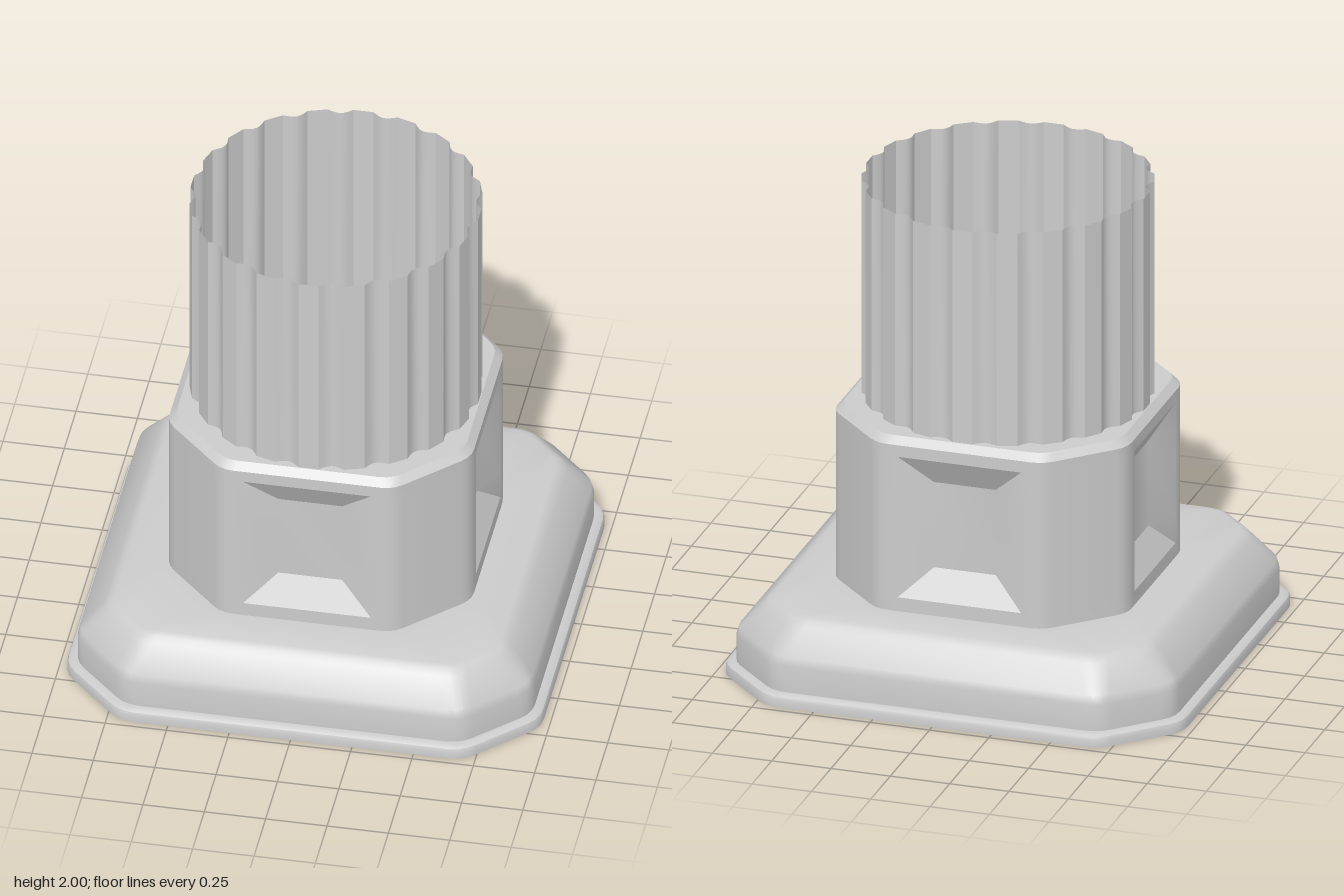
import * as THREE from 'three';
import { toCreasedNormals } from 'three/addons/utils/BufferGeometryUtils.js';

const material = new THREE.MeshStandardMaterial({ color: 0xcccccc, side: THREE.DoubleSide });

// Square with cut, slightly rounded corners: h = half width, s = x + z on the cut,
// columns = extra x positions along each straight side.
function octagon(h, s, r, columns = []) {
  const f = s - h, k = r * Math.SQRT1_2;
  const quarter = columns.map((x) => [x, h]);
  const corner = [];
  for (let i = 0; i <= 3; i++) {
    const t = i / 3, a = (1 - t) ** 2, b = 2 * t * (1 - t), c = t * t;
    corner.push([a * (f - r) + b * f + c * (f + k), (a + b) * h + c * (h - k)]);
  }
  quarter.push(...corner, ...corner.map(([x, z]) => [z, x]).reverse());
  const loop = [];
  for (let q = 0; q < 4; q++) {
    for (const [x, z] of quarter) {
      loop.push([[x, z], [z, -x], [-x, -z], [-z, x]][q]);
    }
  }
  return loop;
}

// Skin closed rings of Vector3; each quad splits along its longer diagonal
// so recessed corners get clean mitres.
function loft(rings, crease = Math.PI / 6) {
  const n = rings[0].length, index = [];
  const points = rings.flat();
  for (let j = 0; j < rings.length - 1; j++) {
    for (let i = 0; i < n; i++) {
      const a = j * n + i, b = j * n + (i + 1) % n, c = b + n, d = a + n;
      if (points[a].distanceTo(points[c]) > points[b].distanceTo(points[d])) index.push(a, b, c, a, c, d);
      else index.push(a, b, d, b, c, d);
    }
  }
  const geometry = new THREE.BufferGeometry().setFromPoints(points);
  geometry.setIndex(index);
  return toCreasedNormals(geometry, crease);
}

const ring = (loop, y) => loop.map(([x, z]) => new THREE.Vector3(x, y, z));

function addMesh(group, name, geometry) {
  const mesh = new THREE.Mesh(geometry, material);
  mesh.name = name;
  group.add(mesh);
}

export function createModel() {
  const model = new THREE.Group();
  model.name = 'columnPedestal';

  // Spread foot: rounded lip, upright band, sloped shoulder, flat top; open below
  const footSum = (h) => 1.67 - Math.SQRT2 * (0.97 - h);
  const foot = [
    [0.97, 0], [0.97, 0.03], [0.965, 0.043], [0.95, 0.052], [0.93, 0.053],
    [0.93, 0.165], [0.92, 0.2], [0.83, 0.3], [0.81, 0.32], [0.785, 0.33],
  ].map(([h, y]) => ring(octagon(h, footSum(h), 0.06), y));
  foot.push(ring(octagon(0.62, 0.97, 0.05), 0.33));
  addMesh(model, 'foot', loft(foot));

  // Pedestal block with a recessed panel on each of the four main sides
  const columns = [-0.26, -0.13, 0.13, 0.26];
  const depth = 0.07;
  const block = [0.33, 0.39, 0.51, 0.88, 1.0, 1.05].map((y) => {
    const recessed = y > 0.5 && y < 0.9;
    const loop = octagon(0.62, 0.97, 0.05, columns);
    return ring(loop.map(([x, z]) => {
      if (!recessed || Math.min(Math.abs(x), Math.abs(z)) > 0.14) return [x, z];
      return Math.abs(x) > Math.abs(z)
        ? [x - Math.sign(x) * depth, z]
        : [x, z - Math.sign(z) * depth];
    }), y);
  });
  block.push(ring(octagon(0.59, 0.928, 0.05, columns), 1.08));
  addMesh(model, 'pedestalBlock', loft(block));

  // Flat top of the block
  const topShape = new THREE.Shape(octagon(0.59, 0.928, 0.05).map(([x, z]) => new THREE.Vector2(x, -z)));
  const top = new THREE.ShapeGeometry(topShape).rotateX(-Math.PI / 2).translate(0, 1.08, 0);
  addMesh(model, 'pedestalTop', top);

  // Hollow fluted shaft: twenty narrow ridges with shallow hollows between
  const flutes = 20, radius = 0.587, ridge = 4, step = 360 / flutes, segments = 6;
  const outline = [];
  for (let i = 0; i < flutes; i++) {
    outline.push([radius, i * step - ridge]);
    for (let k = 0; k < segments; k++) {
      const t = k / segments;
      const hollow = 0.025 * Math.sin(Math.PI * t);
      outline.push([radius - hollow, i * step + ridge + t * (step - 2 * ridge)]);
    }
  }
  const shaftLoop = outline.map(([r, degrees]) => {
    const a = THREE.MathUtils.degToRad(degrees);
    return [r * Math.sin(a), r * Math.cos(a)];
  });
  addMesh(model, 'flutedShaft', loft([ring(shaftLoop, 1.08), ring(shaftLoop, 2)]));

  return model;
}
